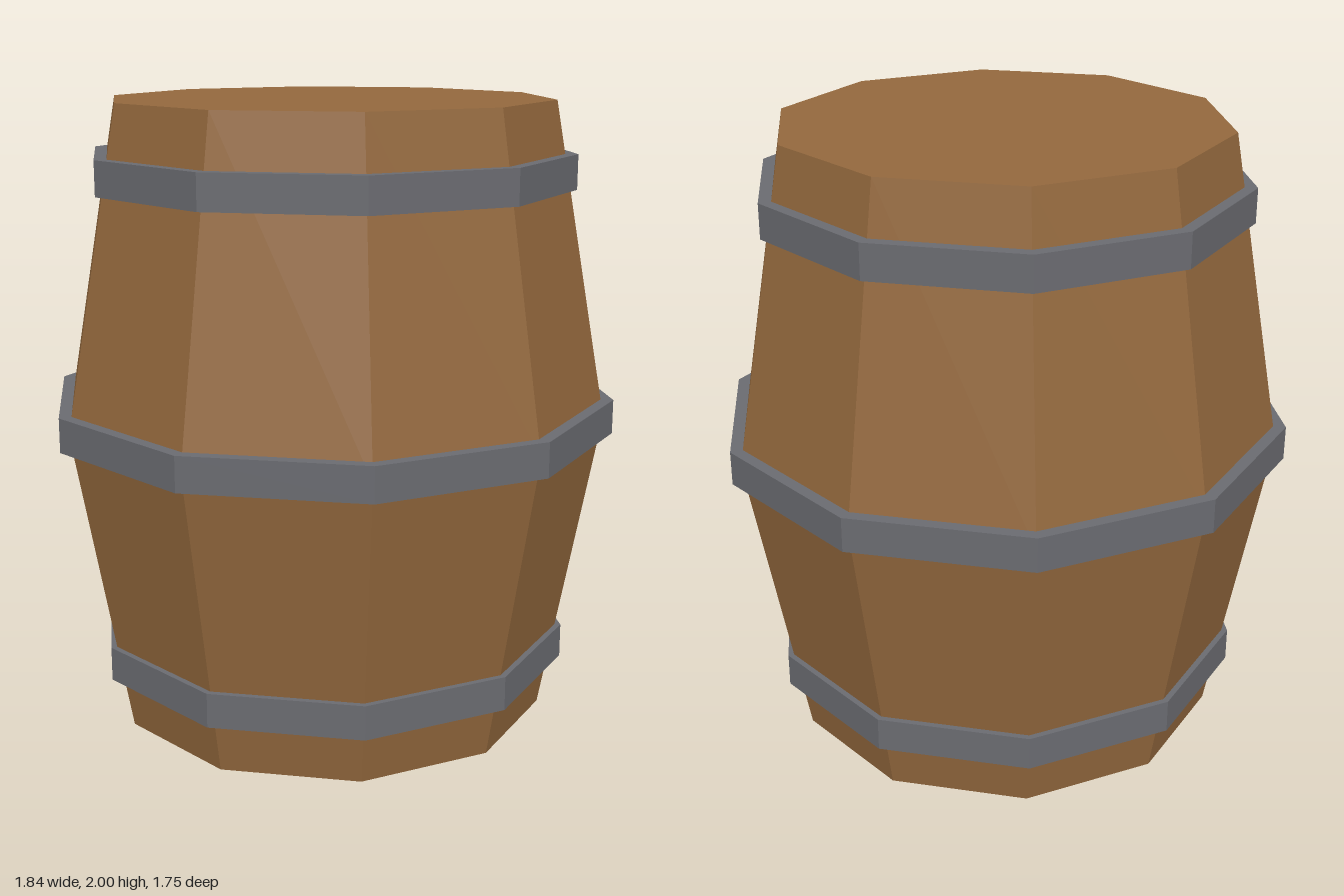
import * as THREE from 'three';

const SIDES = 10;

// Ten-sided solid of revolution with a corner on the x axis; profile runs bottom to top
function facetedLathe(name, profile, material) {
  const points = profile.map(([r, y]) => new THREE.Vector2(r, y));
  const geometry = new THREE.LatheGeometry(points, SIDES, Math.PI / SIDES);
  const mesh = new THREE.Mesh(geometry, material);
  mesh.name = name;
  return mesh;
}

export function createModel() {
  const wood = new THREE.MeshStandardMaterial({ color: 0x93683d, flatShading: true });
  const iron = new THREE.MeshStandardMaterial({ color: 0x6a6b70, flatShading: true });
  const barrel = new THREE.Group();
  barrel.name = 'barrel';

  // Staves with closed ends, widest at mid height
  barrel.add(facetedLathe('barrelBody',
    [[0, 0], [0.71, 0], [0.89, 1], [0.71, 2], [0, 2]], wood));

  // Metal hoops, with their inner edges sunk into the staves
  const hoops = [
    ['lowerHoop', 0.225, 0.78],
    ['middleHoop', 1.003, 0.92],
    ['upperHoop', 1.78, 0.78],
  ];
  const half = 0.055;
  for (const [name, y, radius] of hoops) {
    const inner = radius - 0.08;
    barrel.add(facetedLathe(name,
      [[inner, y - half], [radius, y - half], [radius, y + half], [inner, y + half]], iron));
  }
  return barrel;
}
